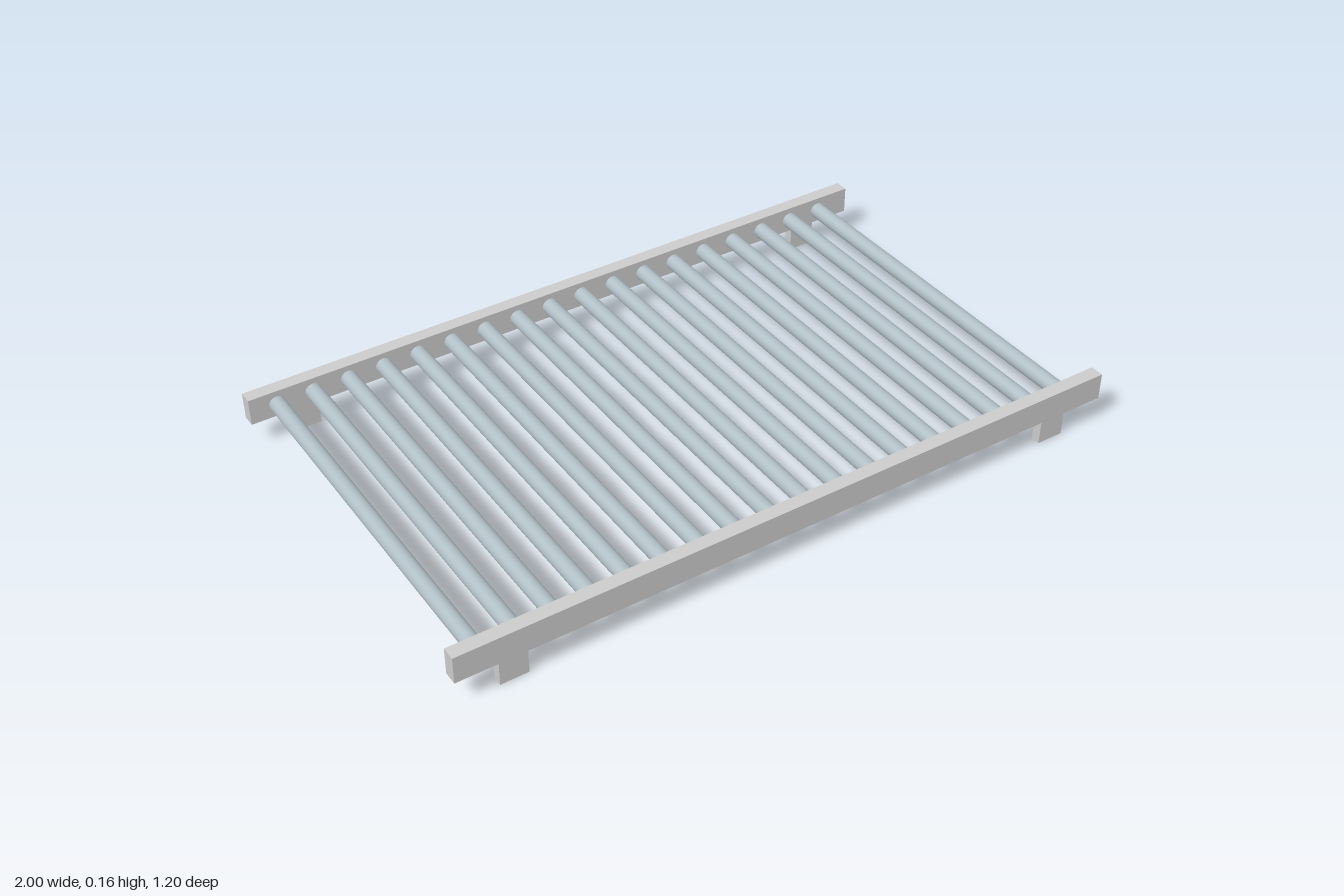
import * as THREE from 'three';

const frameMaterial = new THREE.MeshStandardMaterial({ color: 0xcccccc });
const rollerMaterial = new THREE.MeshStandardMaterial({ color: 0xb0bec5 });

function addMesh(parent, name, geometry, material, x, y, z) {
  const mesh = new THREE.Mesh(geometry, material);
  mesh.name = name;
  mesh.position.set(x, y, z);
  parent.add(mesh);
}

export function createModel() {
  const model = new THREE.Group();
  model.name = 'rollerConveyor';

  const railY = 0.116, railZ = 0.58, railHeight = 0.08, railThickness = 0.04;
  const legHeight = railY - railHeight / 2;

  // Side rails, each on two short feet
  const railGeometry = new THREE.BoxGeometry(2, railHeight, railThickness);
  const legGeometry = new THREE.BoxGeometry(0.08, legHeight, 0.027);
  for (const [side, sign] of [['front', 1], ['back', -1]]) {
    addMesh(model, side + 'Rail', railGeometry, frameMaterial, 0, railY, sign * railZ);
    for (const [end, x] of [['Left', 0.84], ['Right', -0.84]]) {
      addMesh(model, side + end + 'Leg', legGeometry, frameMaterial, x, legHeight / 2, sign * railZ);
    }
  }

  // Evenly spaced rollers spanning the rails
  const rollers = new THREE.Group();
  rollers.name = 'rollers';
  const rollerLength = 2 * railZ - railThickness;
  const rollerGeometry = new THREE.CylinderGeometry(0.0235, 0.0235, rollerLength, 24).rotateX(Math.PI / 2);
  const count = 18, firstX = -0.92, spacing = 0.1066;
  for (let i = 0; i < count; i++) {
    addMesh(rollers, 'roller' + (i + 1), rollerGeometry, rollerMaterial, firstX + i * spacing, railY, 0);
  }
  model.add(rollers);

  return model;
}
